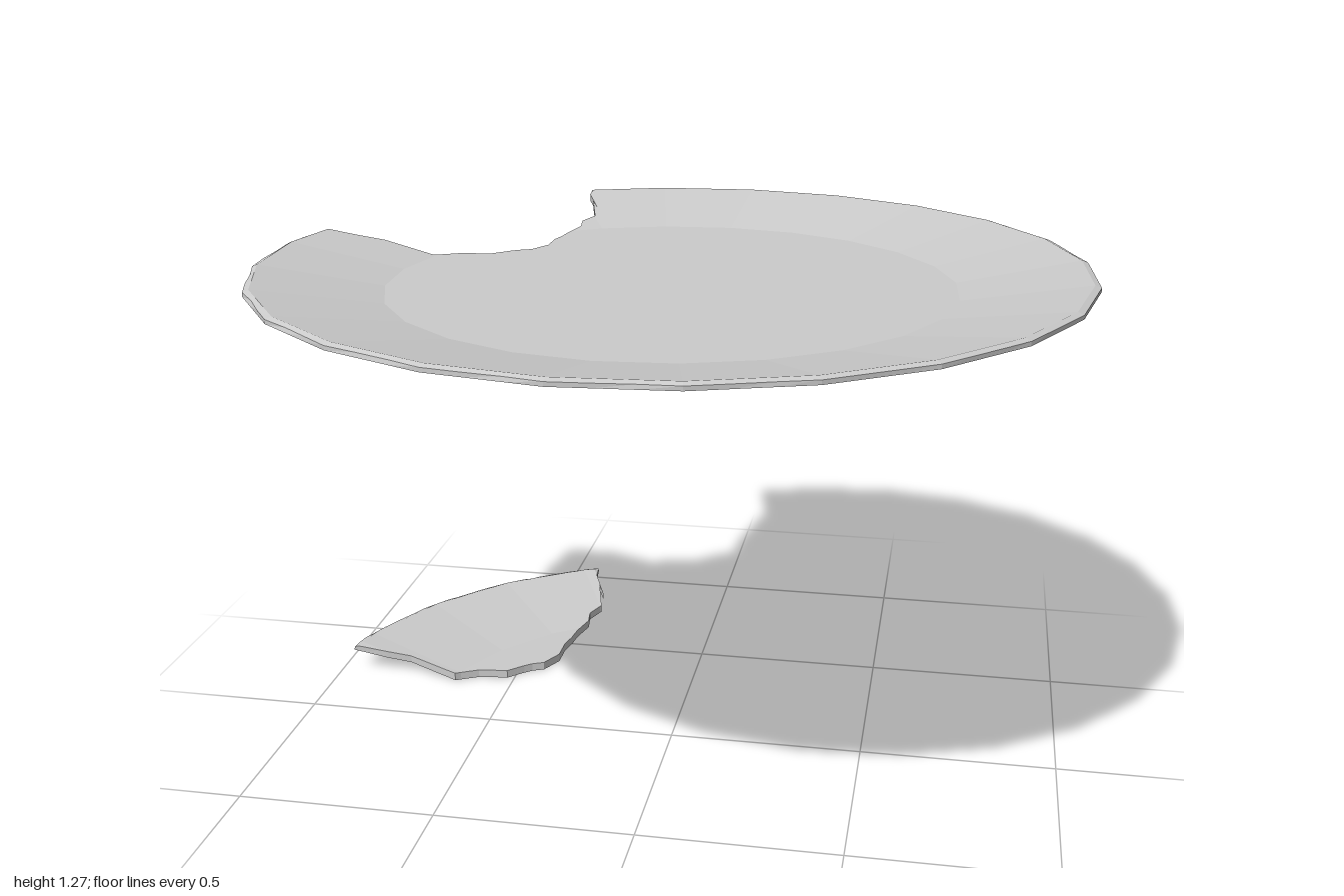
import * as THREE from 'three';

const DEG = Math.PI / 180, STEP = 15, OFFSET = 3.5; // 24-sided rim
const FOLD = 0.685;                                  // floor / rim fold, as a share of the radius

// Fracture line across the plate, from rim to rim (x, z)
const CRACK = [
  [-0.4, -0.91], [-0.395, -0.86], [-0.375, -0.81], [-0.353, -0.765], [-0.345, -0.7],
  [-0.37, -0.65], [-0.365, -0.61], [-0.385, -0.55], [-0.39, -0.5], [-0.4, -0.38],
  [-0.43, -0.32], [-0.48, -0.29], [-0.52, -0.25], [-0.6, -0.24], [-0.66, -0.205],
  [-0.72, -0.22], [-0.8, -0.24], [-0.87, -0.232], [-0.97, -0.23],
];

// Radius of the polygonal rim at an angle in degrees
function rimRadius(a) {
  const local = (((a - OFFSET) % STEP) + STEP) % STEP - STEP / 2;
  return Math.cos(STEP / 2 * DEG) / Math.cos(local * DEG);
}

// Fracture as [angle, share of rim radius], sorted by angle
const crack = CRACK.map(([x, z], i) => {
  const a = (Math.atan2(z, x) / DEG + 360) % 360;
  const end = i === 0 || i === CRACK.length - 1;
  return [a, end ? 1 : Math.min(1, Math.hypot(x, z) / rimRadius(a))];
}).sort((p, q) => p[0] - q[0]);
const START = crack[0][0], END = crack[crack.length - 1][0];

function crackShare(a) {
  for (let i = 0; i < crack.length - 1; i++) {
    const [a0, f0] = crack[i], [a1, f1] = crack[i + 1];
    if (a >= a0 && a <= a1) return a1 === a0 ? f0 : f0 + (f1 - f0) * (a - a0) / (a1 - a0);
  }
  return 1;
}

// Height of the upper and lower faces
const lerp = THREE.MathUtils.lerp;
function topY(f) {
  if (f <= FOLD) return 0.022;
  return f <= 0.985 ? lerp(0.022, 0.075, (f - FOLD) / (0.985 - FOLD)) : lerp(0.075, 0.07, (f - 0.985) / 0.015);
}
const bottomY = f => f <= FOLD ? 0 : lerp(0, 0.06, (f - FOLD) / (1 - FOLD));

// Worn edge: small fixed nicks between the rim corners
const nick = a => 0.006 * Math.max(0, Math.sin(a * 1.7) * Math.sin(a * 0.43 + 1));

// Closed cross-section at one angle, between two shares of the radius
function section(a, inner, outer) {
  const shares = [inner, FOLD, 0.985, outer].map(f => THREE.MathUtils.clamp(f, inner, outer));
  const place = (f, y, wear) => {
    const r = f * rimRadius(a) - wear;
    return new THREE.Vector3(r * Math.cos(a * DEG), y, r * Math.sin(a * DEG));
  };
  const top = shares.map(f => place(f, topY(f), f > 0.99 ? nick(a) : 0));
  const bottom = shares.map(f => place(f, bottomY(f), 0)).reverse();
  return [...top, ...bottom];
}

// Skin neighbouring sections, dropping collapsed triangles
function skin(sections, closed) {
  const pos = [], tri = new THREE.Triangle();
  const add = (a, b, c) => {
    if (tri.set(a, b, c).getArea() > 1e-8) pos.push(...a, ...b, ...c);
  };
  const count = closed ? sections.length : sections.length - 1;
  for (let i = 0; i < count; i++) {
    const A = sections[i], B = sections[(i + 1) % sections.length];
    for (let j = 0; j < A.length; j++) {
      const k = (j + 1) % A.length;
      add(A[j], B[j], B[k]);
      add(A[j], B[k], A[k]);
    }
  }
  const geometry = new THREE.BufferGeometry();
  geometry.setAttribute('position', new THREE.Float32BufferAttribute(pos, 3));
  geometry.computeVertexNormals();
  return geometry;
}

export function createModel() {
  const group = new THREE.Group();
  group.name = 'brokenPlate';
  const material = new THREE.MeshStandardMaterial({ color: 0xcccccc, flatShading: true });

  // Columns at the rim corners, between them, and at every fracture point
  const angles = crack.map(c => c[0]);
  for (let a = OFFSET; a < 360; a += STEP / 3) angles.push(a);
  angles.sort((p, q) => p - q);

  // Main plate with the bite taken out
  const plate = new THREE.Mesh(skin(angles.map(a => section(a, 0, crackShare(a))), true), material);
  plate.name = 'plate';
  plate.position.y = 1.2;

  // Broken-off shard lying below
  const inside = angles.filter(a => a >= START && a <= END);
  const shard = new THREE.Mesh(skin(inside.map(a => section(a, crackShare(a), 1)), false), material);
  shard.name = 'shard';

  group.add(plate, shard);
  return group;
}
